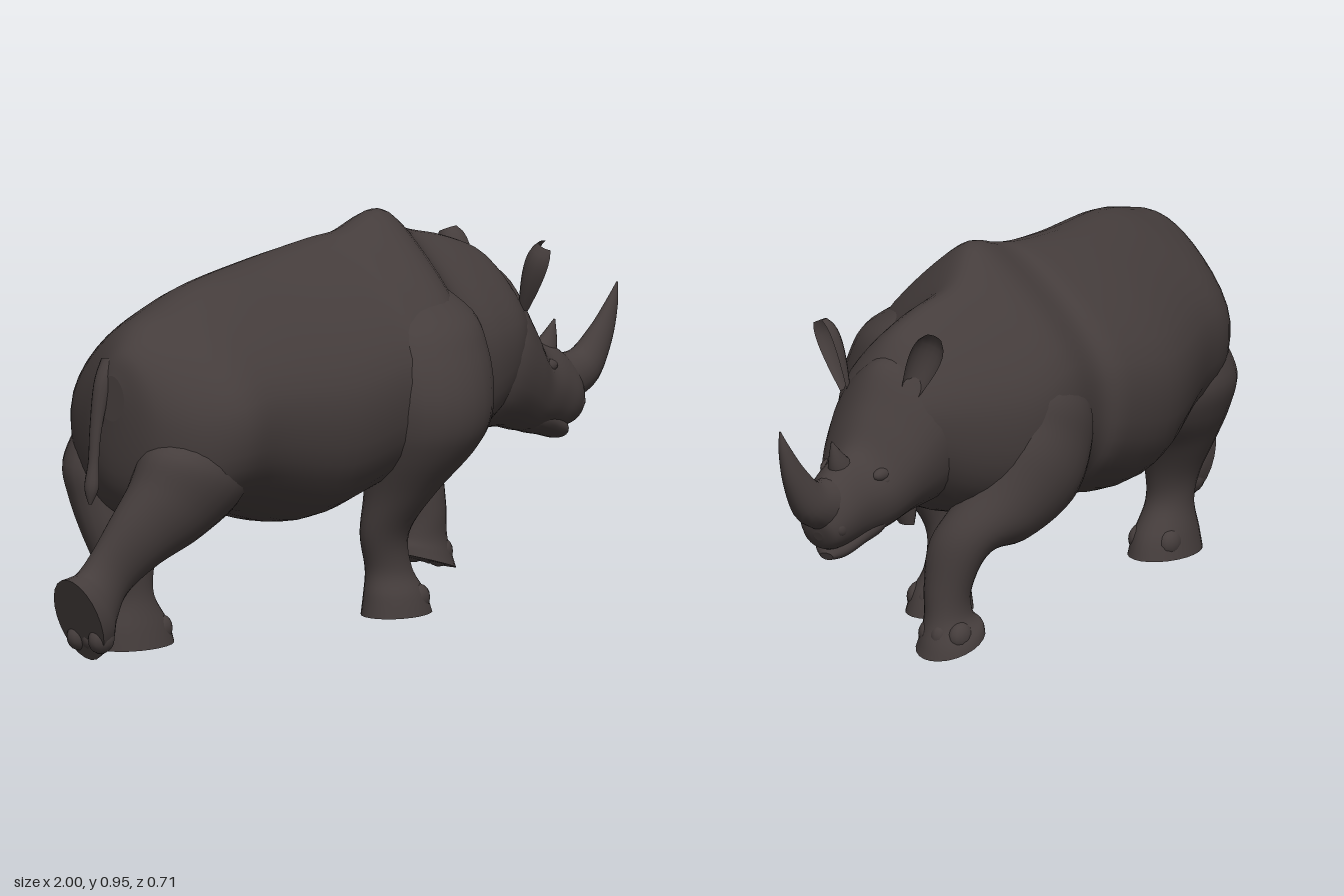
import * as THREE from 'three';

const hide = new THREE.MeshStandardMaterial({ color: 0x453d3c, side: THREE.DoubleSide });
hide.name = 'greyBrownHide';

// Catmull-Rom blend of whole section rows
function rowAt(rows, u) {
  const n = rows.length - 1;
  const i = Math.min(Math.floor(u * n), n - 1);
  const f = u * n - i;
  const [p, q, r, s] = [i - 1, i, i + 1, i + 2].map(j => rows[Math.max(0, Math.min(n, j))]);
  return q.map((b, c) => {
    const a = p[c], d = r[c], e = s[c];
    return b + 0.5 * f * (d - a + f * (2 * a - 5 * b + 4 * d - e + f * (3 * (b - d) + e - a)));
  });
}

// Skin through oval rings. Row: x, y, z, half height, half width, tilt in degrees,
// pinch (narrows the upper half and fills out the lower half)
function loft(name, rows, sides = 24, perSpan = 5) {
  rows = rows.map(r => [...r, 0].slice(0, 7));
  const steps = (rows.length - 1) * perSpan;
  const pos = [], idx = [];
  const ring = u => {
    const [x, y, z, a, b, tilt, k] = rowAt(rows, u);
    const t = THREE.MathUtils.degToRad(tilt);
    for (let j = 0; j < sides; j++) {
      const w = (j / sides) * Math.PI * 2;
      const s = Math.sin(w);
      const width = 1 - k * (s > 0 ? 1 : -0.5) * Math.abs(s) ** 1.5;
      pos.push(x - a * s * Math.sin(t), y + a * s * Math.cos(t), z + b * Math.cos(w) * width);
    }
  };
  for (let i = 0; i <= steps; i++) ring(i / steps);
  for (let i = 0; i < steps; i++) {
    for (let j = 0; j < sides; j++) {
      const a = i * sides + j, b = i * sides + (j + 1) % sides;
      idx.push(a, a + sides, b, b, a + sides, b + sides);
    }
  }
  // End caps with their own vertices, so the rims stay sharp
  for (const end of [0, 1]) {
    const start = pos.length / 3;
    ring(end);
    pos.push(...rowAt(rows, end).slice(0, 3));
    for (let j = 0; j < sides; j++) {
      const a = start + j, b = start + (j + 1) % sides;
      if (end) idx.push(start + sides, b, a);
      else idx.push(start + sides, a, b);
    }
  }
  // Make every face point outwards
  const v = i => new THREE.Vector3().fromArray(pos, i * 3);
  let volume = 0;
  for (let i = 0; i < idx.length; i += 3) volume += v(idx[i]).dot(v(idx[i + 1]).cross(v(idx[i + 2])));
  if (volume < 0) idx.reverse();
  const g = new THREE.BufferGeometry();
  g.setAttribute('position', new THREE.Float32BufferAttribute(pos, 3));
  g.setIndex(idx);
  g.computeVertexNormals();
  return named(name, g);
}

function named(name, geometry) {
  const m = new THREE.Mesh(geometry, hide);
  m.name = name;
  return m;
}

function blob(name, x, y, z, rx, ry, rz) {
  const m = named(name, new THREE.SphereGeometry(1, 14, 10));
  m.position.set(x, y, z);
  m.scale.set(rx, ry, rz);
  return m;
}

// Cupped ear with a narrow base and a broad, blunt tip, opening forwards
function ear(name, side) {
  const g = new THREE.PlaneGeometry(1, 1, 8, 10);
  const p = g.attributes.position;
  for (let i = 0; i < p.count; i++) {
    const v = p.getY(i) + 0.5;
    const bend = p.getX(i) * 3.2;
    const w = 0.017 + 0.023 * Math.sin(Math.PI * 0.62 * v) - 0.016 * v ** 9;
    p.setXYZ(i, -w * Math.cos(bend), v * 0.175, w * Math.sin(bend));
  }
  g.computeVertexNormals();
  const m = named(name, g);
  m.position.set(0.605, 0.665, side * 0.088 + 0.01);
  m.rotation.set(side * 0.42, -side * 0.5, 0);
  return m;
}

export function createModel() {
  const model = new THREE.Group();
  model.name = 'rhinoceros';

  // Trunk: x, top, bottom, z, half width, pinch
  const trunk = [
    [-0.785, 0.69, 0.58, 0.02, 0.04, 0.1], [-0.765, 0.745, 0.42, 0.035, 0.115, 0.2],
    [-0.7, 0.8, 0.33, 0.025, 0.21, 0.3], [-0.6, 0.832, 0.33, 0.02, 0.272, 0.35],
    [-0.45, 0.866, 0.315, 0, 0.286, 0.4], [-0.2, 0.885, 0.25, -0.03, 0.322, 0.4],
    [0, 0.905, 0.285, -0.03, 0.31, 0.45], [0.08, 0.918, 0.3, -0.01, 0.292, 0.5],
    [0.21, 0.948, 0.31, -0.02, 0.288, 0.58], [0.33, 0.882, 0.32, -0.05, 0.238, 0.5],
    [0.45, 0.848, 0.355, -0.03, 0.2, 0.45], [0.55, 0.8, 0.43, -0.01, 0.155, 0.4],
    [0.62, 0.71, 0.52, 0, 0.1, 0.3],
  ];
  model.add(loft('trunk', trunk.map(([x, t, b, z, w, k]) => [x, (t + b) / 2, z, (t - b) / 2, w, 0, k]), 40));

  // Head, jaw and throat fold
  model.add(loft('head', [
    [0.46, 0.58, -0.015, 0.185, 0.15, -16, 0.3], [0.55, 0.562, -0.005, 0.195, 0.155, -18, 0.35],
    [0.63, 0.51, 0, 0.147, 0.135, -16, 0.3], [0.695, 0.456, 0.005, 0.112, 0.106, -15, 0.25],
    [0.77, 0.438, 0.01, 0.1, 0.082, -15, 0.2], [0.825, 0.413, 0.012, 0.08, 0.068, -18, 0.1],
    [0.86, 0.385, 0.012, 0.045, 0.045, -22], [0.868, 0.38, 0.012, 0.012, 0.012, -22],
  ], 32));
  model.add(loft('lowerJaw', [
    [0.62, 0.43, 0, 0.03, 0.05, -20], [0.69, 0.388, 0.003, 0.043, 0.076, -18],
    [0.755, 0.36, 0.008, 0.035, 0.064, -18], [0.805, 0.336, 0.01, 0.026, 0.046, -20],
    [0.832, 0.322, 0.01, 0.01, 0.018, -20],
  ]));
  model.add(loft('throatFold', [
    [0.44, 0.56, 0.12, 0.03, 0.03, -90], [0.43, 0.46, 0.105, 0.045, 0.045, -90],
    [0.43, 0.37, 0.055, 0.03, 0.05, -90], [0.425, 0.3, 0.03, 0.012, 0.02, -90],
  ], 16));

  // Horns
  model.add(loft('frontHorn', [
    [0.83, 0.452, 0.013, 0.066, 0.052, 20], [0.9, 0.475, 0.02, 0.052, 0.042, 36],
    [0.95, 0.545, 0.03, 0.035, 0.027, 54], [0.98, 0.615, 0.038, 0.017, 0.014, 65],
    [0.994, 0.665, 0.043, 0.002, 0.002, 72],
  ], 20));
  model.add(loft('rearHorn', [
    [0.755, 0.51, 0.01, 0.045, 0.035, 70], [0.785, 0.55, 0.01, 0.025, 0.02, 65],
    [0.805, 0.598, 0.012, 0.002, 0.002, 65],
  ], 16));

  // Paired ears, brows, eyes and nostrils
  for (const [label, side] of [['right', -1], ['left', 1]]) {
    model.add(ear(label + 'Ear', side));
    model.add(blob(label + 'Brow', 0.7, 0.506, side * 0.072 + 0.005, 0.04, 0.018, 0.018));
    model.add(blob(label + 'Eye', 0.703, 0.492, side * 0.085 + 0.005, 0.014, 0.01, 0.009));
    model.add(blob(label + 'Nostril', 0.835, 0.4, side * 0.047 + 0.012, 0.024, 0.022, 0.014));
  }

  // Legs, from the shoulder or hip down to the sole
  model.add(loft('nearForeleg', [
    [0.175, 0.8, 0.08, 0.08, 0.045, -90], [0.16, 0.72, 0.155, 0.15, 0.11, -90],
    [0.145, 0.64, 0.185, 0.172, 0.137, -90], [0.135, 0.55, 0.2, 0.175, 0.152, -90],
    [0.132, 0.47, 0.2, 0.165, 0.15, -90], [0.122, 0.4, 0.19, 0.14, 0.126, -90],
    [0.095, 0.3, 0.155, 0.093, 0.083, -90], [0.078, 0.2, 0.12, 0.067, 0.053, -90],
    [0.1, 0.11, 0.112, 0.063, 0.05, -90], [0.112, 0.05, 0.12, 0.083, 0.066, -90],
    [0.118, 0, 0.122, 0.096, 0.076, -90],
  ]));
  model.add(loft('farForeleg', [
    [0.19, 0.7, -0.17, 0.1, 0.07, -78], [0.2, 0.6, -0.21, 0.15, 0.105, -70],
    [0.22, 0.51, -0.225, 0.16, 0.105, -62], [0.28, 0.42, -0.225, 0.145, 0.102, -50],
    [0.375, 0.335, -0.18, 0.102, 0.095, -42], [0.45, 0.275, -0.133, 0.066, 0.076, -65],
    [0.468, 0.18, -0.11, 0.058, 0.058, -85], [0.468, 0.11, -0.11, 0.066, 0.055, -95],
    [0.472, 0.07, -0.12, 0.088, 0.073, -106], [0.474, 0.046, -0.12, 0.096, 0.08, -108],
  ]));
  model.add(loft('farHindLeg', [
    [-0.565, 0.53, -0.14, 0.13, 0.09, -90], [-0.57, 0.44, -0.145, 0.165, 0.112, -90],
    [-0.58, 0.36, -0.13, 0.152, 0.105, -90],
    [-0.605, 0.28, -0.108, 0.115, 0.085, -90], [-0.615, 0.19, -0.088, 0.08, 0.06, -90],
    [-0.61, 0.12, -0.082, 0.068, 0.055, -90], [-0.597, 0.05, -0.08, 0.1, 0.07, -90],
    [-0.592, 0, -0.08, 0.113, 0.08, -90],
  ]));
  model.add(loft('nearHindLeg', [
    [-0.57, 0.53, 0.14, 0.12, 0.09, -108], [-0.64, 0.45, 0.15, 0.152, 0.112, -118],
    [-0.72, 0.37, 0.135, 0.12, 0.092, -130], [-0.8, 0.305, 0.11, 0.088, 0.068, -140],
    [-0.86, 0.23, 0.08, 0.072, 0.05, -142], [-0.895, 0.175, 0.07, 0.083, 0.055, -147],
    [-0.922, 0.143, 0.07, 0.105, 0.068, -152], [-0.957, 0.13, 0.07, 0.112, 0.07, -157],
  ]));

  // Three broad toes on each foot: x, y, z and spread
  for (const [x, y, z, w] of [
    [0.162, 0.036, 0.122, 0.038], [0.512, 0.066, -0.12, 0.04],
    [-0.533, 0.036, -0.08, 0.04], [-0.901, 0.082, 0.07, 0.034],
  ]) {
    for (const s of [-1, 0, 1]) {
      model.add(blob('toe', x - Math.abs(s) * 0.014, y, z + s * w, 0.038, 0.035, 0.027));
    }
  }

  // Tail hanging clear of the rump
  model.add(loft('tail', [
    [-0.75, 0.71, -0.01, 0.028, 0.03, -130], [-0.782, 0.66, -0.012, 0.022, 0.022, -110],
    [-0.802, 0.56, -0.015, 0.013, 0.016, -95], [-0.81, 0.48, -0.015, 0.012, 0.014, -95],
    [-0.817, 0.42, -0.015, 0.017, 0.018, -95], [-0.822, 0.38, -0.015, 0.004, 0.004, -95],
  ], 12));

  return model;
}
